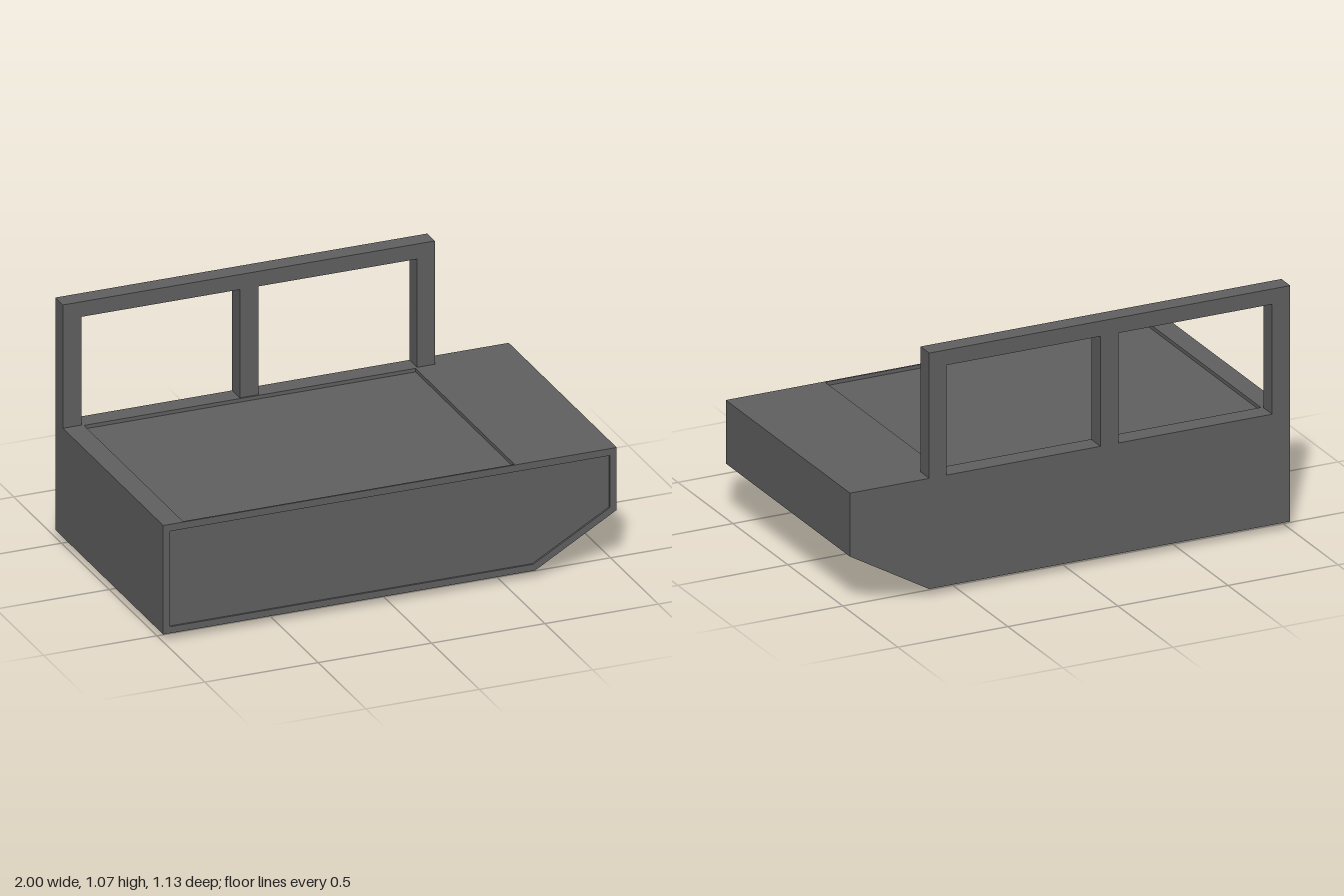
import * as THREE from 'three';

const material = new THREE.MeshStandardMaterial({ color: 0x606060, flatShading: true });
const smooth = new THREE.MeshStandardMaterial({ color: 0x606060 });

const vecs = (pts) => pts.map(([x, y]) => new THREE.Vector2(x, y));

// Flat plate from an outline with optional holes, extruded along +z from z0 to z1
function plate(outline, holes, z0, z1) {
  const shape = new THREE.Shape(vecs(outline));
  for (const h of holes) shape.holes.push(new THREE.Path(vecs(h)));
  const geo = new THREE.ExtrudeGeometry(shape, { depth: z1 - z0, bevelEnabled: false });
  return geo.translate(0, 0, z0);
}

// Side profile with a chamfered lower nose
const profile = (top) => [[-1, 0.033], [0.64, 0.033], [1, 0.24], [1, top], [-1, top]];

export function createModel() {
  const group = new THREE.Group();
  const add = (name, geo, mat = material) => {
    const mesh = new THREE.Mesh(geo, mat);
    mesh.name = name;
    group.add(mesh);
    return mesh;
  };

  const deck = 0.518, floor = 0.502, back = -0.565, face = 0.557, front = 0.565;

  // Main hull, up to the floor of the deck recess
  add('hull', plate(profile(floor), [], back, face));

  // Deck rim on three sides of the shallow recess; drawn in x,-z and laid flat
  const rim = [[-1, -face], [-0.91, -face], [-0.91, 0.478], [0.552, 0.478],
    [0.552, -face], [1, -face], [1, -back], [-1, -back]];
  add('deckRim', plate(rim, [], floor, deck).rotateX(-Math.PI / 2));

  // Raised border around the front panel, closing the recess at the front
  const inset = [[-0.97, 0.062], [0.632, 0.062], [0.97, 0.256], [0.97, 0.487], [-0.97, 0.487]];
  add('frontBorder', plate(profile(deck), [inset], face, front));

  // Upright frame with two openings, standing on the back edge
  const frame = [[-1, deck], [-0.918, deck], [-0.918, 1], [-0.22, 1], [-0.22, deck], [-0.138, deck],
    [-0.138, 1], [0.562, 1], [0.562, deck], [0.64, deck], [0.64, 1.067], [-1, 1.067]];
  add('backFrame', plate(frame, [], back, -0.485));

  // Six round feet with a softened lower edge
  const footProfile = vecs([[0, 0], [0.172, 0], [0.172, 0], [0.18, 0.002], [0.184, 0.008], [0.184, 0.008], [0.184, 0.036]]);
  for (const x of [-0.72, -0.205, 0.32]) {
    for (const z of [-0.257, 0.257]) {
      add('foot', new THREE.LatheGeometry(footProfile, 48), smooth).position.set(x, 0, z);
    }
  }
  return group;
}
